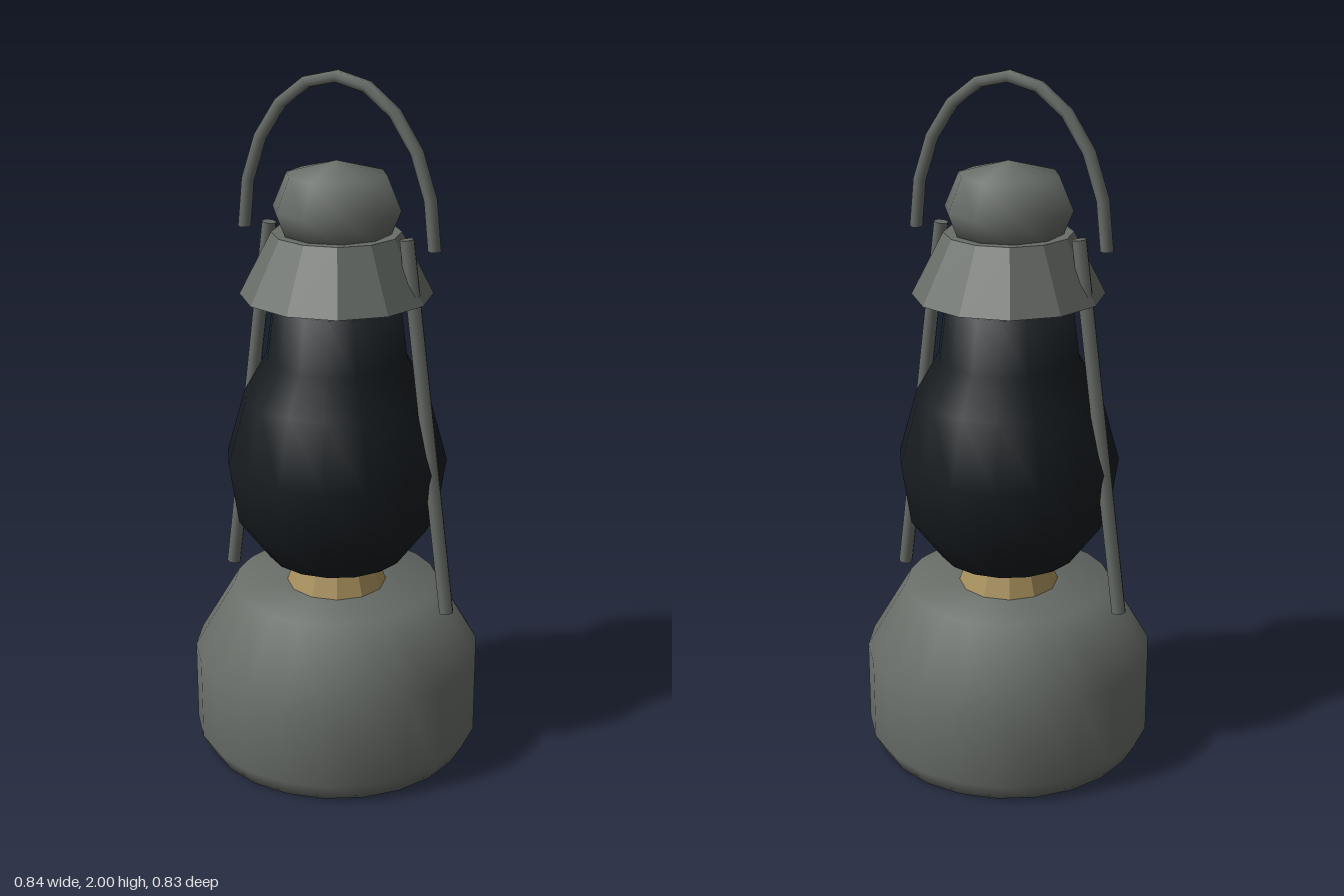
import * as THREE from 'three';

const metal = new THREE.MeshStandardMaterial({ color: 0x686d68, side: THREE.DoubleSide });
const metalFlat = new THREE.MeshStandardMaterial({ color: 0x686d68, flatShading: true });
const glass = new THREE.MeshStandardMaterial({ color: 0x171c20, side: THREE.DoubleSide });
const brass = new THREE.MeshStandardMaterial({ color: 0xa8905c, flatShading: true });

// Half-ellipse bail, sampled evenly by angle
class BailCurve extends THREE.Curve {
  getPoint(t, target = new THREE.Vector3()) {
    const a = Math.PI * t;
    return target.set(0.3 * Math.cos(a), 1.54 + 0.442 * Math.sin(a), 0);
  }
  getPointAt(t, target) {
    return this.getPoint(t, target);
  }
}

export function createModel() {
  const lantern = new THREE.Group();
  lantern.name = 'lantern';

  const add = (name, geometry, material) => {
    const mesh = new THREE.Mesh(geometry, material);
    mesh.name = name;
    lantern.add(mesh);
    return mesh;
  };
  const lathe = (name, profile, sides, material) =>
    add(name, new THREE.LatheGeometry(profile.map(([r, y]) => new THREE.Vector2(r, y)), sides), material);

  // Fuel tank
  lathe('fuelTank', [[0, 0], [0.385, 0], [0.42, 0.06], [0.42, 0.305], [0.3, 0.51], [0, 0.51]], 22, metal)
    .rotation.y = Math.PI / 2;

  // Burner collar between tank and glass
  add('burner', new THREE.CylinderGeometry(0.108, 0.147, 0.11, 12), brass).position.y = 0.56;

  // Bulbous chimney
  lathe('glassChimney', [[0, 0.605], [0.2, 0.605], [0.29, 0.725], [0.317, 0.905],
    [0.265, 1.09], [0.2, 1.205], [0.18, 1.355], [0, 1.355]], 16, glass);

  // Hood and rounded vent on top
  add('hood', new THREE.CylinderGeometry(0.18, 0.27, 0.175, 12), metalFlat).position.y = 1.472;
  lathe('ventCap', [[0, 1.5], [0.152, 1.555], [0.18, 1.625], [0.14, 1.72], [0, 1.757]], 10, metal);

  // Slanted side rods
  for (const [name, side] of [['leftRod', 1], ['rightRod', -1]]) {
    const bottom = new THREE.Vector3(side * 0.361, 0.487, 0);
    const top = new THREE.Vector3(side * 0.217, 1.563, 0);
    const dir = top.clone().sub(bottom);
    const rod = add(name, new THREE.CylinderGeometry(0.021, 0.021, dir.length(), 8), metal);
    rod.position.copy(bottom).lerp(top, 0.5);
    rod.quaternion.setFromUnitVectors(new THREE.Vector3(0, 1, 0), dir.normalize());
  }

  // Carrying handle
  add('handle', new THREE.TubeGeometry(new BailCurve(), 10, 0.018, 6, false), metal);

  return lantern;
}
